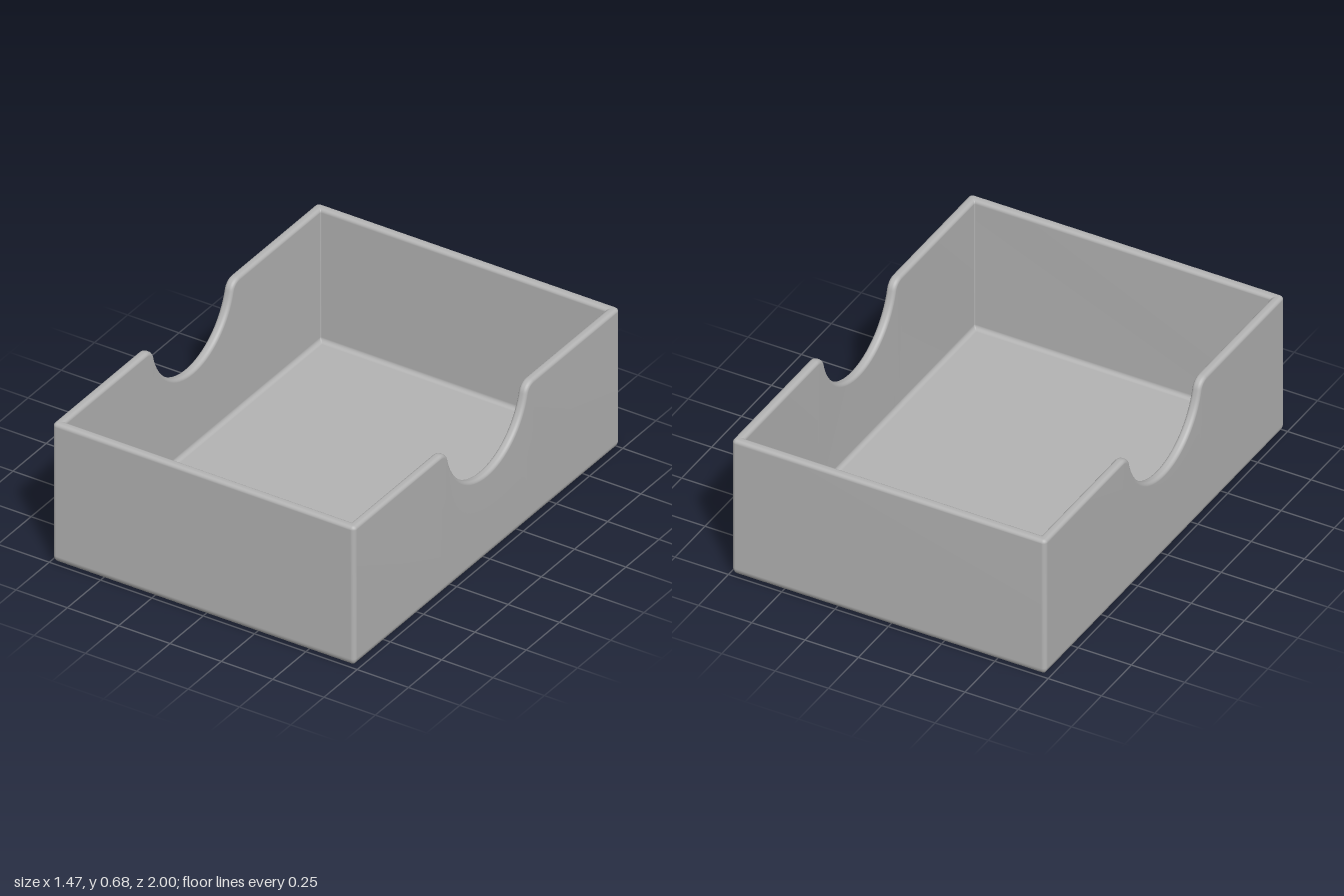
import * as THREE from 'three';

const HX = 0.737, HZ = 1, H = 0.68;   // half width, half depth, height
const WALL = 0.042, FLOOR = 0.042;
const CORNER = 0.02, RIM = 0.016, BASE = 0.04, INNER = 0.02; // edge radii
const NOTCH_R = 0.3, NOTCH_Y = 0.71, LIP = 0.06;             // thumb notch circle and its lip fillets

// Rim line of a side wall, from -z to +z: position and outward normal
function notchLine() {
  const dy = NOTCH_Y - (H - LIP);
  const lipZ = Math.sqrt((NOTCH_R + LIP) ** 2 - dy ** 2);
  const end = Math.atan2(dy, lipZ); // angle where circle and lip meet
  const half = [];
  for (let i = 0; i <= 8; i++) {    // lip fillet
    const a = Math.PI / 2 + (end - Math.PI / 2) * i / 8;
    const nz = Math.cos(a), ny = Math.sin(a);
    half.push({ z: -lipZ + LIP * nz, y: H - LIP + LIP * ny, nz, ny });
  }
  for (let i = 1; i <= 16; i++) {   // notch arc down to its lowest point
    const a = end + (Math.PI / 2 - end) * i / 16;
    const nz = Math.cos(a), ny = Math.sin(a);
    half.push({ z: -NOTCH_R * nz, y: NOTCH_Y - NOTCH_R * ny, nz, ny });
  }
  const other = half.slice(0, -1).reverse().map(p => ({ ...p, z: -p.z, nz: -p.nz }));
  return [...half, ...other];
}

// Stations around the box, running from +x towards +z
function makeStations() {
  const line = notchLine();
  const corner = (sx, sz, start) => Array.from({ length: 7 }, (_, i) => {
    const a = start + i / 6 * Math.PI / 2;
    return { corner: true, sx, sz, cos: Math.cos(a), sin: Math.sin(a), y: H };
  });
  return [
    ...line.map(p => ({ ...p, sx: 1 })),
    ...corner(1, 1, 0),
    ...corner(-1, 1, Math.PI / 2),
    ...line.map(p => ({ ...p, sx: -1 })).reverse(),
    ...corner(-1, -1, Math.PI),
    ...corner(1, -1, Math.PI * 1.5),
  ];
}

// Wall section, from under the base, over the rim, to the inside floor.
// inset: distance in from the outside; y: fixed height, or drop: depth below the rim
function makeProfile() {
  const rows = [{ centre: true, y: 0 }];
  const arc = (n, fn) => {
    for (let i = 0; i <= n; i++) {
      const a = i / n * Math.PI / 2;
      rows.push(fn(Math.cos(a), Math.sin(a)));
    }
  };
  arc(6, (c, s) => ({ inset: BASE * (1 - s), y: BASE * (1 - c) }));
  arc(5, (c, s) => ({ inset: RIM * (1 - c), drop: RIM * (1 - s) }));
  arc(5, (c, s) => ({ inset: WALL - RIM * (1 - s), drop: RIM * (1 - c) }));
  arc(5, (c, s) => ({ inset: WALL + INNER * (1 - c), y: FLOOR + INNER * (1 - s) }));
  rows.push({ centre: true, y: FLOOR });
  return rows;
}

function place(row, st) {
  if (row.centre) return [0, row.y, 0];
  const { inset, drop } = row;
  const onRim = drop !== undefined;
  if (st.corner) {
    const r = Math.max(0.004, CORNER - inset);
    return [
      st.sx * (HX - inset - r) + r * st.cos,
      onRim ? H - drop : row.y,
      st.sz * (HZ - inset - r) + r * st.sin,
    ];
  }
  return [
    st.sx * (HX - inset),
    onRim ? st.y - drop * st.ny : row.y,
    onRim ? st.z - drop * st.nz : st.z,
  ];
}

function trayGeometry() {
  const stations = makeStations(), rows = makeProfile();
  const n = stations.length, positions = [], index = [];
  for (const row of rows) for (const st of stations) positions.push(...place(row, st));
  for (let r = 0; r < rows.length - 1; r++) {
    for (let s = 0; s < n; s++) {
      const t = (s + 1) % n;
      const a = r * n + s, b = a + n, c = (r + 1) * n + t, d = r * n + t;
      if (!rows[r + 1].centre) index.push(a, b, c);
      if (!rows[r].centre) index.push(a, c, d);
    }
  }
  const g = new THREE.BufferGeometry();
  g.setAttribute('position', new THREE.Float32BufferAttribute(positions, 3));
  g.setIndex(index);
  g.computeVertexNormals();
  return g;
}

export function createModel() {
  const grey = new THREE.MeshStandardMaterial({ color: 0xb4b4b4 });
  grey.name = 'light grey';
  const tray = new THREE.Mesh(trayGeometry(), grey);
  tray.name = 'notchedTray';
  const group = new THREE.Group();
  group.name = 'openBox';
  group.add(tray);
  return group;
}
